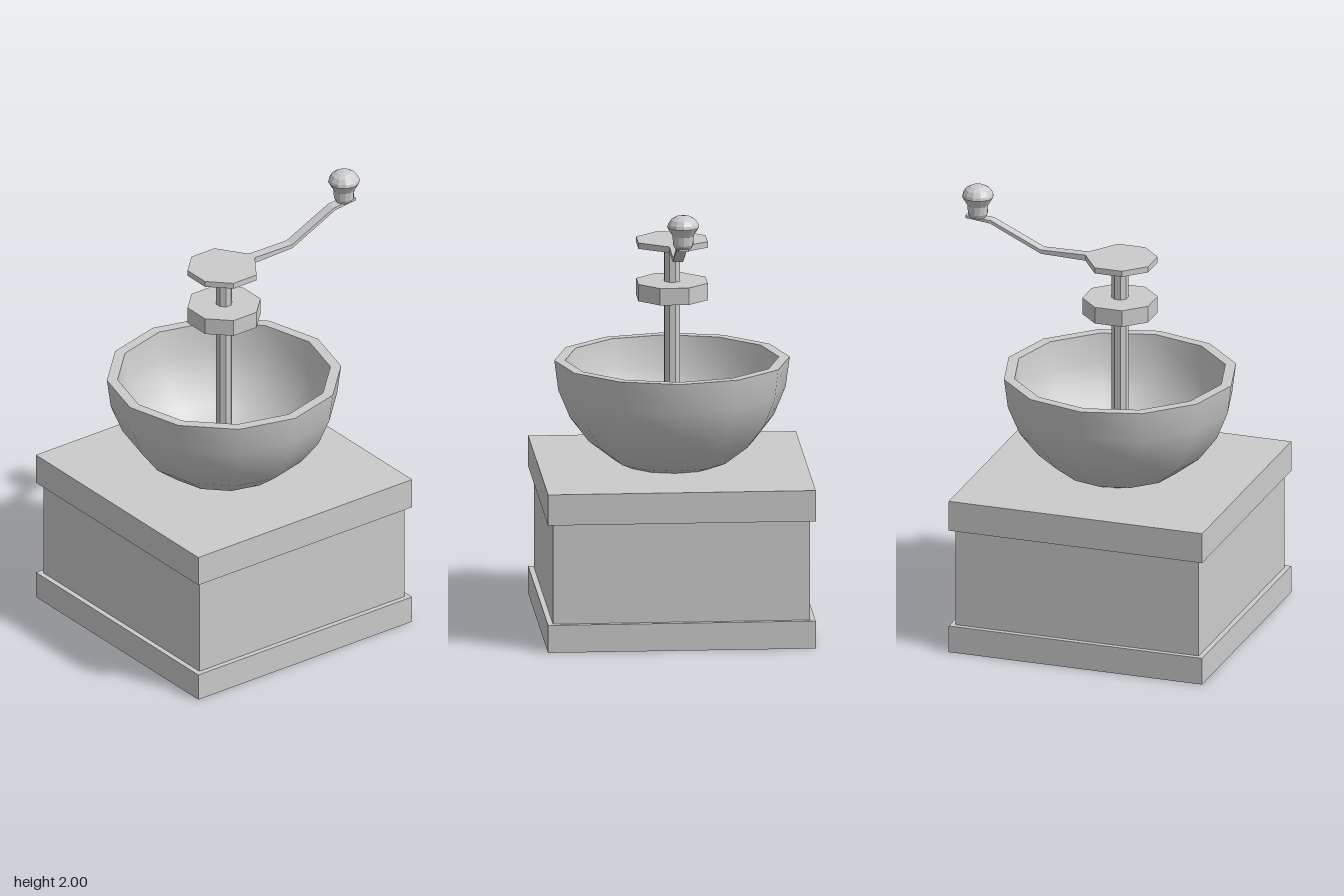
import * as THREE from 'three';

const CX = -0.075; // axis of the body, bowl and shaft
const flat = new THREE.MeshStandardMaterial({ color: 0xcccccc, flatShading: true });
const shell = new THREE.MeshStandardMaterial({ color: 0xcccccc, flatShading: true, side: THREE.DoubleSide });
const smooth = new THREE.MeshStandardMaterial({ color: 0xcccccc });

const points = (list) => list.map(([x, y]) => new THREE.Vector2(x, y));

function addMesh(parent, name, geometry, material, x = 0, y = 0, z = 0) {
  const mesh = new THREE.Mesh(geometry, material);
  mesh.name = name;
  mesh.position.set(x, y, z);
  parent.add(mesh);
  return mesh;
}

// Eight-sided prism with its flats on the axes
function octagon(apothem, y0, y1) {
  const r = apothem / Math.cos(Math.PI / 8);
  const g = new THREE.CylinderGeometry(r, r, y1 - y0, 8, 1, false, Math.PI / 8);
  return g.translate(0, (y0 + y1) / 2, 0);
}

// Quarter arc from the bottom pole up to the rim
function bowlArc(radius, rimY) {
  const arc = [];
  for (let i = 0; i <= 6; i++) {
    const a = (i / 6) * Math.PI / 2;
    arc.push([Math.sin(a) * radius, rimY - Math.cos(a) * radius]);
  }
  return arc;
}

export function createModel() {
  const model = new THREE.Group();
  model.name = 'handMill';

  // Square hollow box, open below, with a stepped band at bottom and top
  const q = Math.SQRT2;
  const boxProfile = [
    [0.597, 0], [0.597, 0.125], [0.573, 0.125], [0.573, 0.58],
    [0.597, 0.58], [0.597, 0.72], [0, 0.72],
  ].map(([x, y]) => [x * q, y]);
  addMesh(model, 'boxBody', new THREE.LatheGeometry(points(boxProfile), 4, Math.PI / 4), shell, CX);

  // Twelve-sided bowl: outside, flat rim, inside
  const bowl = new THREE.Group();
  bowl.name = 'bowl';
  bowl.position.x = CX;
  model.add(bowl);
  const rimY = 1.197, outer = 0.525, inner = 0.477;
  addMesh(bowl, 'bowlOutside', new THREE.LatheGeometry(points(bowlArc(outer, rimY)), 12), smooth);
  addMesh(bowl, 'bowlRim', new THREE.LatheGeometry(points([[outer, rimY], [inner, rimY]]), 12), flat);
  addMesh(bowl, 'bowlInside', new THREE.LatheGeometry(points(bowlArc(inner, rimY).reverse()), 12), smooth);

  // Shaft with its nut
  addMesh(model, 'shaft', octagon(0.034, 0.7, 1.72), flat, CX);
  addMesh(model, 'nut', octagon(0.155, 1.475, 1.552), flat, CX);

  // Crank plate: an octagon whose right side narrows to the arm
  const a = 0.155, h = a * Math.tan(Math.PI / 8), w = 0.023;
  const plateShape = new THREE.Shape(points([
    [a, -w], [a, w], [h, a], [-h, a], [-a, h], [-a, -h], [-h, -a], [h, -a],
  ]));
  const plate = new THREE.ExtrudeGeometry(plateShape, { depth: 0.027, bevelEnabled: false });
  plate.rotateX(-Math.PI / 2);
  addMesh(model, 'crankPlate', plate, flat, CX, 1.714);

  // Bent crank arm
  const armShape = new THREE.Shape(points([
    [0.08, 1.714], [0.29, 1.72], [0.53, 1.833], [0.645, 1.845],
    [0.645, 1.857], [0.525, 1.847], [0.29, 1.738], [0.08, 1.741],
  ]));
  const arm = new THREE.ExtrudeGeometry(armShape, { depth: 2 * w, bevelEnabled: false });
  addMesh(model, 'crankArm', arm, flat, 0, 0, -w);

  // Mushroom knob
  const knobProfile = [
    [0, 1.848], [0.036, 1.85], [0.045, 1.868], [0.047, 1.908], [0.071, 1.948],
    [0.068, 1.962], [0.055, 1.982], [0.033, 1.995], [0, 2.0],
  ];
  addMesh(model, 'knob', new THREE.LatheGeometry(points(knobProfile), 12), flat, 0.595);

  return model;
}
